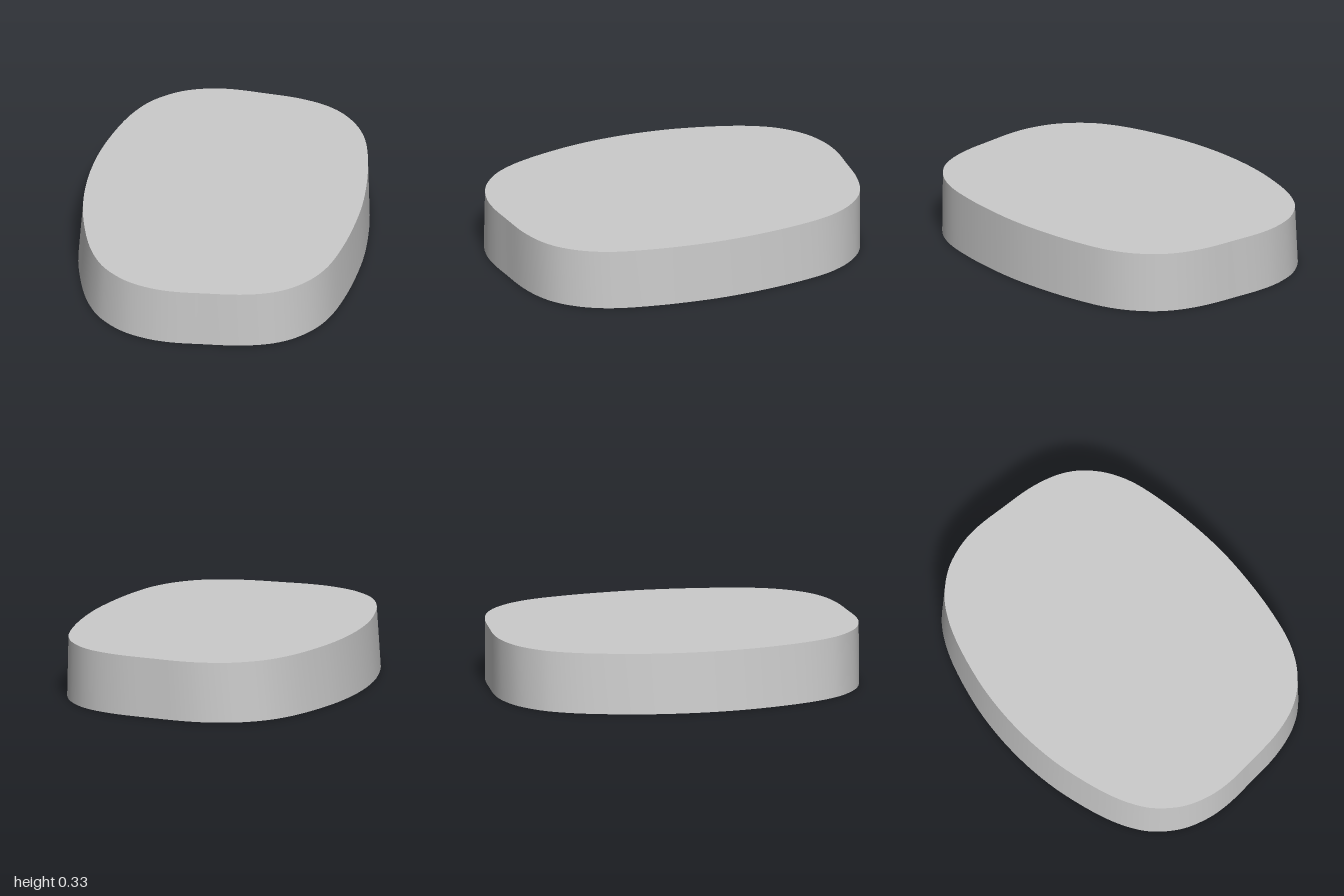
import * as THREE from 'three';
import { toCreasedNormals } from 'three/addons/utils/BufferGeometryUtils.js';

const HEIGHT = 0.33;

// Half of the rounded outline (x, z), mirrored across z = 0.
const HALF = [
  [0.77, 0], [0.76, 0.2], [0.735, 0.4], [0.69, 0.6], [0.64, 0.715], [0.58, 0.8],
  [0.5, 0.875], [0.4, 0.93], [0.25, 0.971], [0.05, 0.99], [-0.12, 1.0],
  [-0.25, 0.987], [-0.4, 0.935], [-0.53, 0.835], [-0.6, 0.74], [-0.665, 0.6],
  [-0.735, 0.35], [-0.762, 0.17], [-0.77, 0],
];

function outline() {
  const mirrored = HALF.slice(1, -1).reverse().map(([x, z]) => [x, -z]);
  const points = [...HALF, ...mirrored].map(([x, z]) => new THREE.Vector3(x, z, 0));
  const curve = new THREE.CatmullRomCurve3(points, true, 'centripetal');
  return curve.getPoints(144).slice(0, -1).map((p) => new THREE.Vector2(p.x, p.y));
}

export function createModel() {
  const group = new THREE.Group();
  group.name = 'roundedSlab';

  const geometry = new THREE.ExtrudeGeometry(new THREE.Shape(outline()), {
    depth: HEIGHT, bevelEnabled: false,
  });
  geometry.rotateX(-Math.PI / 2);

  // Narrow the top face in x, more on the -x side, so the walls taper.
  const pos = geometry.attributes.position;
  for (let i = 0; i < pos.count; i++) {
    if (pos.getY(i) > HEIGHT / 2) pos.setX(i, pos.getX(i) * 0.977 + 0.008);
  }

  const slab = new THREE.Mesh(
    toCreasedNormals(geometry, Math.PI / 5),
    new THREE.MeshStandardMaterial({ color: 0xcccccc }),
  );
  slab.name = 'slab';
  group.add(slab);
  return group;
}
